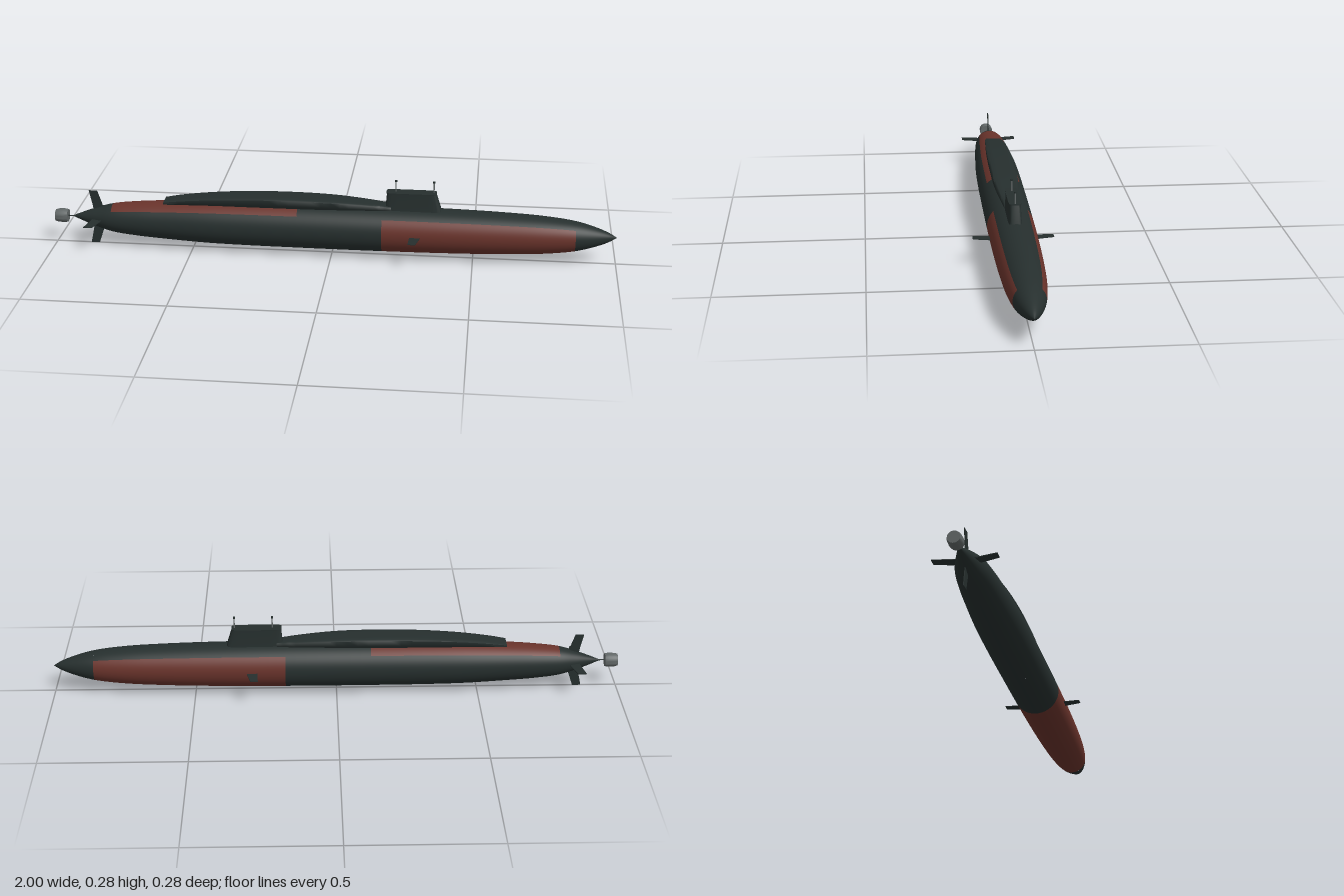
import * as THREE from 'three';
import { toCreasedNormals } from 'three/addons/utils/BufferGeometryUtils.js';

const AXIS = 0.1; // height of the hull centre line
const V = (x, y, z) => new THREE.Vector3(x, y, z);
const material = (name, color) => {
  const m = new THREE.MeshStandardMaterial({ color });
  m.name = name;
  return m;
};

// Closed skin over rings of points, each counterclockwise about the travel direction
function loft(rings, crease) {
  const pos = [];
  const tri = (...pts) => pts.forEach((p) => pos.push(p.x, p.y, p.z));
  const n = rings[0].length;
  const centre = (r) => r.reduce((s, p) => s.add(p), V(0, 0, 0)).divideScalar(n);
  const first = rings[0], last = rings[rings.length - 1];
  const c0 = centre(first), c1 = centre(last);
  for (let j = 0; j < n; j++) {
    const k = (j + 1) % n;
    for (let i = 0; i < rings.length - 1; i++) {
      const a = rings[i], b = rings[i + 1];
      tri(a[j], a[k], b[k]);
      tri(a[j], b[k], b[j]);
    }
    tri(c0, first[k], first[j]);
    tri(c1, last[j], last[k]);
  }
  const g = new THREE.BufferGeometry();
  g.setAttribute('position', new THREE.Float32BufferAttribute(pos, 3));
  return toCreasedNormals(g, crease);
}

// Hull radius along x, smoothed through a few stations
const hullPoints = new THREE.CatmullRomCurve3([
  [-0.935, 0.002], [-0.9, 0.016], [-0.85, 0.034], [-0.79, 0.051], [-0.7, 0.062], [-0.6, 0.069],
  [-0.45, 0.077], [-0.3, 0.08], [-0.12, 0.081], [0.18, 0.081], [0.4, 0.079], [0.6, 0.074],
  [0.75, 0.066], [0.855, 0.053], [0.92, 0.036], [0.97, 0.017], [1, 0],
].map(([x, r]) => V(x, r, 0)), false, 'centripetal').getPoints(128);

function radiusAt(x) {
  const i = Math.max(1, hullPoints.findIndex((p) => p.x >= x - 1e-6));
  const a = hullPoints[i - 1], b = hullPoints[i];
  return Math.max(0, THREE.MathUtils.mapLinear(x, a.x, b.x, a.y, b.y));
}

// Hull panel from x0 to x1 between two elevations in degrees (0 = +z, 90 = up)
function hullPanel(x0, x1, e0, e1) {
  const inner = hullPoints.filter((p) => p.x > x0 + 0.001 && p.x < x1 - 0.001);
  const pts = [new THREE.Vector2(radiusAt(x0), x0),
    ...inner.map((p) => new THREE.Vector2(p.y, p.x)),
    new THREE.Vector2(radiusAt(x1), x1)];
  const rad = Math.PI / 180;
  const g = new THREE.LatheGeometry(pts, Math.ceil((e1 - e0) / 6), -e1 * rad, (e1 - e0) * rad);
  return g.rotateZ(-Math.PI / 2).translate(0, AXIS, 0);
}

// Flat fin from [x, radius] corners, turned about the hull axis
function fin(corners, thickness, angle) {
  const shape = new THREE.Shape(corners.map(([x, r]) => new THREE.Vector2(x, r)));
  const g = new THREE.ExtrudeGeometry(shape, { depth: thickness, bevelEnabled: false });
  return g.translate(0, 0, -thickness / 2).rotateX(angle).translate(0, AXIS, 0);
}

// Rounded box outline in plan
function planRing(y, x0, x1, w, n = 40) {
  const p = (v) => Math.sign(v) * Math.abs(v) ** 0.3;
  return Array.from({ length: n }, (_, i) => {
    const t = (i / n) * Math.PI * 2;
    return V((x0 + x1) / 2 + p(Math.sin(t)) * (x1 - x0) / 2, y, p(Math.cos(t)) * w);
  });
}

export function createModel() {
  const group = new THREE.Group();
  const dark = material('hullGreenGrey', 0x262f2e);
  const red = material('oxideRed', 0x69332b);
  const grey = material('metalGrey', 0x626868);
  const add = (name, geometry, mat) => {
    const mesh = new THREE.Mesh(geometry, mat);
    mesh.name = name;
    group.add(mesh);
  };

  // Hull, split where the paint changes
  add('sternCone', hullPanel(-0.935, -0.79, 0, 360), dark);
  add('aftDeck', hullPanel(-0.79, -0.12, 43, 137), red);
  add('aftHull', hullPanel(-0.79, -0.12, 137, 403), dark);
  add('midHull', hullPanel(-0.12, 0.18, 0, 360), dark);
  add('foreDeck', hullPanel(0.18, 0.855, 43, 137), dark);
  add('foreHull', hullPanel(0.18, 0.855, 137, 403), red);
  add('bow', hullPanel(0.855, 1, 0, 360), dark);

  // Raised casing behind the sail, undercut along its foot: [x, half width, top]
  const base = 0.16;
  const half = [[1, 0.5], [0.99, 0.88], [0.92, 1], [0.54, 1], [0.34, 0.76], [0, 0.7]];
  const casing = new THREE.CatmullRomCurve3([
    [-0.6, 0.029, 0.177], [-0.54, 0.034, 0.187], [-0.43, 0.04, 0.199], [-0.3, 0.044, 0.207],
    [-0.15, 0.045, 0.21], [0, 0.043, 0.207], [0.12, 0.034, 0.199], [0.21, 0.024, 0.19],
  ].map((p) => V(...p))).getPoints(28);
  add('casing', loft(casing.map(({ x, y: w, z: top }) => {
    const side = half.map(([f, s]) => V(x, base + f * (top - base), s * w));
    return [...side, ...side.map((p) => V(p.x, p.y, -p.z)).reverse()];
  }), 1), dark);

  // Sail with a thin lip round its roof
  add('sail', loft([
    planRing(0.165, 0.187, 0.388, 0.025),
    planRing(0.19, 0.19, 0.382, 0.022),
    planRing(0.24, 0.194, 0.366, 0.02),
  ], 0.6), dark);
  add('sailRoof', loft([
    planRing(0.239, 0.192, 0.368, 0.022),
    planRing(0.242, 0.192, 0.368, 0.022),
  ], 0.6), dark);

  // Masts
  for (const x of [0.225, 0.358]) {
    add('mast', new THREE.CylinderGeometry(0.002, 0.0025, 0.044, 10).translate(x, 0.26, 0), grey);
    add('mastHead', new THREE.CylinderGeometry(0.004, 0.004, 0.006, 10).translate(x, 0.281, 0), dark);
  }

  // Diving planes on the bow sides
  const bowPlane = [[0.278, 0.07], [0.318, 0.07], [0.302, 0.138], [0.276, 0.138]];
  for (const s of [1, -1]) add('bowPlane', fin(bowPlane, 0.002, s * Math.PI / 2), dark);

  // Cross of swept stern fins, the horizontal pair slightly longer
  for (let k = 0; k < 4; k++) {
    const tip = k % 2 ? 0.105 : 0.1;
    const corners = [[-0.862, 0.02], [-0.822, 0.02], [-0.829, 0.052], [-0.845, tip], [-0.875, tip], [-0.862, 0.04]];
    add('sternFin', fin(corners, 0.003, k * Math.PI / 2), dark);
  }

  // Propulsor drum on a slim shaft
  const drum = [[0, -1], [0.021, -1], [0.024, -0.99], [0.025, -0.968], [0.023, -0.955], [0, -0.955]]
    .map(([r, x]) => new THREE.Vector2(r, x));
  add('propulsor', toCreasedNormals(new THREE.LatheGeometry(drum, 28).toNonIndexed(), 0.6)
    .rotateZ(-Math.PI / 2).translate(0, AXIS, 0), grey);
  add('shaft', new THREE.CylinderGeometry(0.002, 0.002, 0.03, 10)
    .rotateZ(Math.PI / 2).translate(-0.945, AXIS, 0), dark);

  return group;
}
